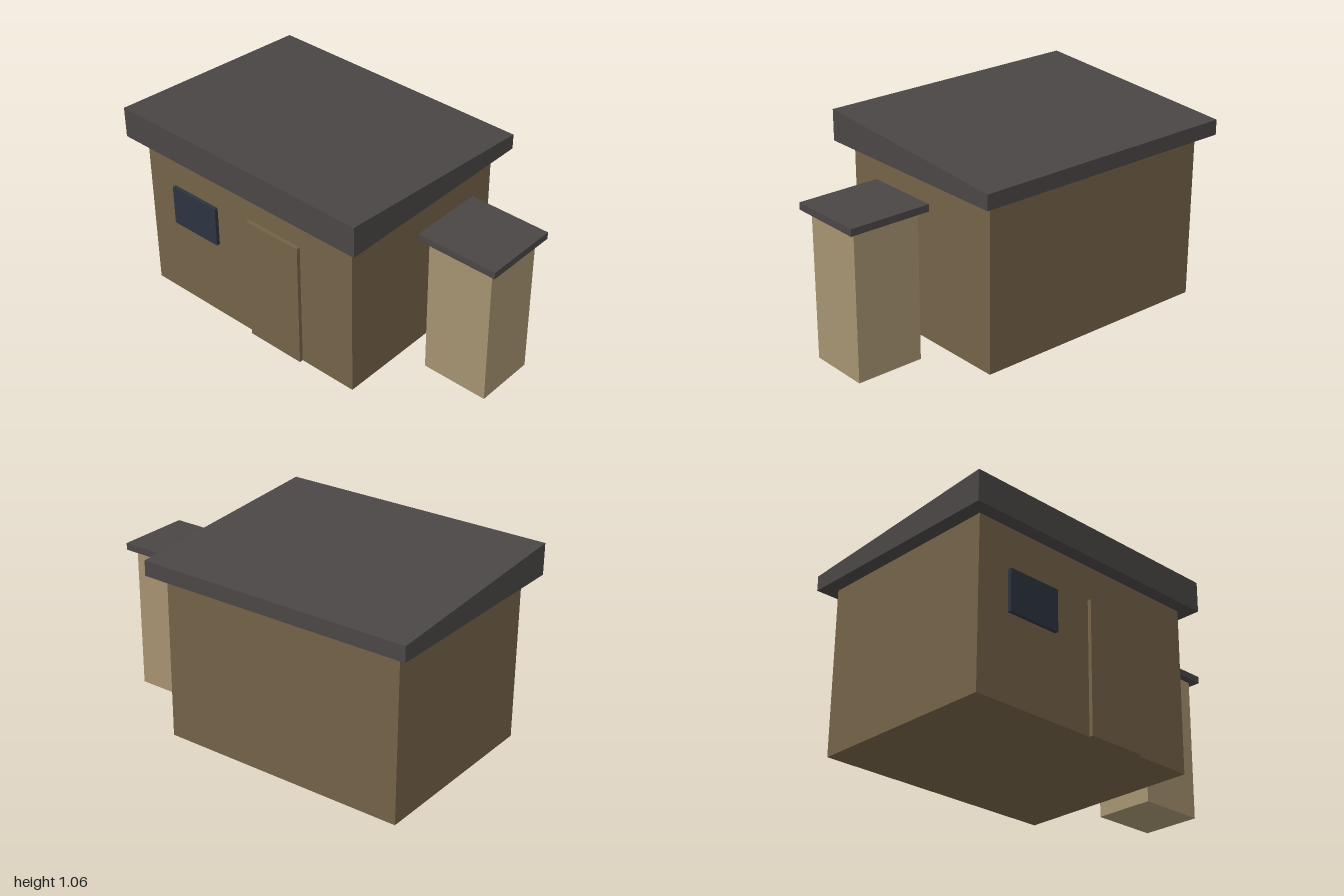
import * as THREE from 'three';

function material(name, color) {
  const m = new THREE.MeshStandardMaterial({ color });
  m.name = name;
  return m;
}

// Box given by its minimum and maximum corners
function block(name, mat, [x0, y0, z0], [x1, y1, z1]) {
  const geometry = new THREE.BoxGeometry(x1 - x0, y1 - y0, z1 - z0);
  geometry.translate((x0 + x1) / 2, (y0 + y1) / 2, (z0 + z1) / 2);
  const mesh = new THREE.Mesh(geometry, mat);
  mesh.name = name;
  return mesh;
}

export function createModel() {
  const wall = material('brown wall', 0x736247);
  const tan = material('tan wall', 0xa59271);
  const roofing = material('dark roofing', 0x4a4645);
  const glass = material('dark blue glass', 0x2c3440);

  // Main shed with a raised door and window on the front
  const shed = new THREE.Group();
  shed.name = 'shed';
  shed.add(
    block('shedWalls', wall, [-0.925, 0, -0.52], [0.44, 0.89, 0.52]),
    block('door', wall, [-0.225, 0, 0.52], [0.11, 0.705, 0.54]),
    block('window', glass, [-0.745, 0.45, 0.52], [-0.445, 0.67, 0.54])
  );

  // Roof slab: flat underside, top sloping down to the back
  const roof = block('shedRoof', roofing, [-1, 0.89, -0.593], [0.515, 1.056, 0.593]);
  const p = roof.geometry.attributes.position;
  for (let i = 0; i < p.count; i++) {
    if (p.getY(i) > 1 && p.getZ(i) < 0) p.setY(i, 0.971);
  }
  roof.geometry = roof.geometry.toNonIndexed();
  roof.geometry.computeVertexNormals();
  shed.add(roof);

  // Narrow outhouse beside the shed
  const outhouse = new THREE.Group();
  outhouse.name = 'outhouse';
  outhouse.add(
    block('outhouseWalls', tan, [0.593, 0, -0.184], [0.96, 0.78, 0.148]),
    block('outhouseRoof', roofing, [0.556, 0.78, -0.222], [1, 0.817, 0.186])
  );

  const model = new THREE.Group();
  model.name = 'shedAndOuthouse';
  model.add(shed, outhouse);
  return model;
}
